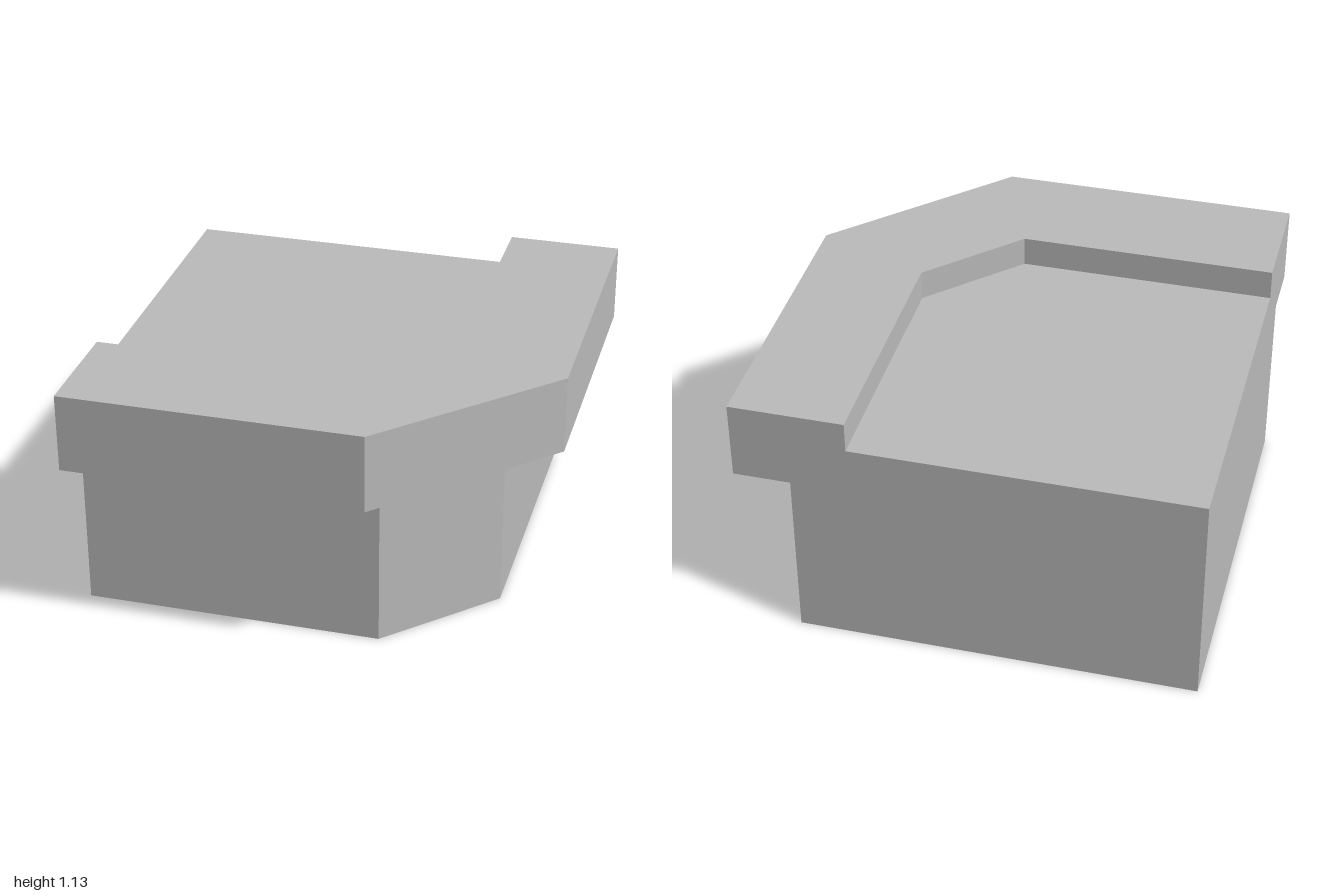
import * as THREE from 'three';

// Square plan with its front-left corner cut off: reach = far edge, cut = where the chamfer begins
const chamfered = (reach, cut) => [[-1, reach], [cut, reach], [reach, cut], [reach, -1]];

// Extrudes a plan of [x, z] points upward between two heights
function slab(name, plan, bottom, top, material) {
  const shape = new THREE.Shape(plan.map(([x, z]) => new THREE.Vector2(x, -z)));
  const geometry = new THREE.ExtrudeGeometry(shape, { depth: top - bottom, bevelEnabled: false });
  geometry.rotateX(-Math.PI / 2).translate(0, bottom, 0);
  const mesh = new THREE.Mesh(geometry, material);
  mesh.name = name;
  return mesh;
}

export function createModel() {
  const grey = new THREE.MeshStandardMaterial({ color: 0xbbbbbb });
  grey.name = 'plain grey';

  const rimBottom = 0.785, floorTop = 1.0, rimTop = 1.135;
  const corner = [-1, -1];
  const inner = chamfered(0.5, 0.125);

  const model = new THREE.Group();
  model.name = 'cornerParapet';
  model.add(
    // Lower wall block
    slab('wallBlock', [...chamfered(0.75, 0.31), corner], 0, rimBottom, grey),
    // Sunken roof floor enclosed by the parapet
    slab('roofFloor', [...inner, corner], rimBottom, floorTop, grey),
    // Overhanging parapet around the two outer sides
    slab('parapet', [...chamfered(1, 0.31), ...inner.slice().reverse()], rimBottom, rimTop, grey)
  );
  return model;
}
